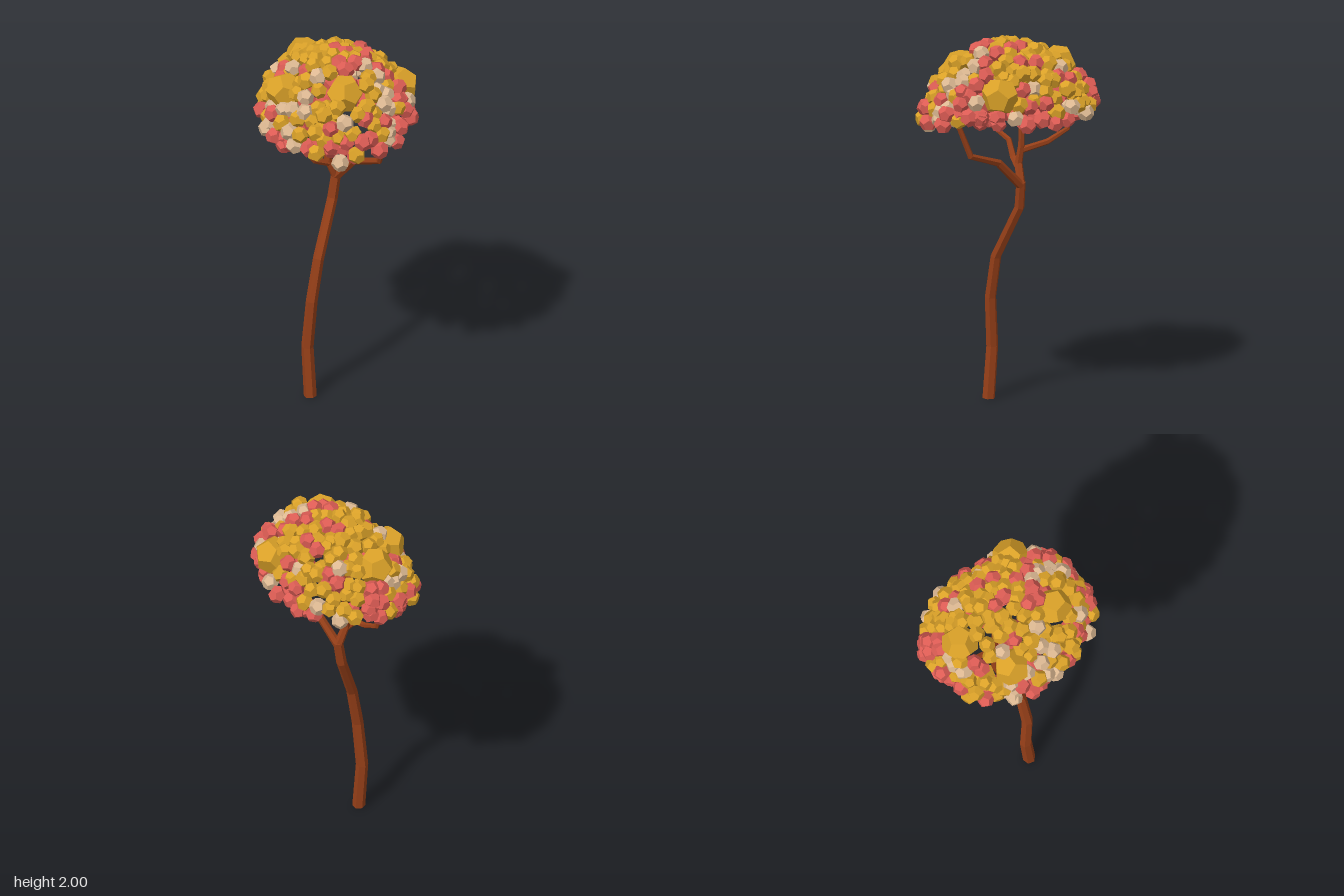
import * as THREE from 'three';
import { mergeGeometries } from 'three/addons/utils/BufferGeometryUtils.js';

const UP = new THREE.Vector3(0, 1, 0);

// Small seeded random generator
function seeded(seed) {
  return () => {
    seed = (seed + 0x6d2b79f5) | 0;
    let t = Math.imul(seed ^ (seed >>> 15), 1 | seed);
    t = (t + Math.imul(t ^ (t >>> 7), 61 | t)) ^ t;
    return ((t ^ (t >>> 14)) >>> 0) / 4294967296;
  };
}

// Tapered, kinked limb: a cylinder whose rings are moved onto the path points
function limb(name, points, r0, r1, material, sides = 6) {
  const path = points.map((p) => new THREE.Vector3(...p));
  const n = path.length - 1;
  const frames = path.map((p, i) => {
    const dir = path[Math.min(i + 1, n)].clone().sub(path[Math.max(i - 1, 0)]).normalize();
    return new THREE.Quaternion().setFromUnitVectors(UP, dir);
  });
  const geometry = new THREE.CylinderGeometry(1, 1, 1, sides, n);
  const pos = geometry.attributes.position;
  const v = new THREE.Vector3();
  for (let k = 0; k < pos.count; k++) {
    const i = Math.round((pos.getY(k) + 0.5) * n);
    const r = THREE.MathUtils.lerp(r0, r1, i / n);
    v.set(pos.getX(k) * r, 0, pos.getZ(k) * r).applyQuaternion(frames[i]).add(path[i]);
    pos.setXYZ(k, v.x, Math.max(0, v.y), v.z);
  }
  geometry.computeVertexNormals();
  const mesh = new THREE.Mesh(geometry, material);
  mesh.name = name;
  return mesh;
}

// Outline of the crown seen from above (a slightly skewed ellipse) and its rim height
const outline = (angle, s) => [
  0.45 * s * Math.cos(angle),
  s * (0.068 * Math.cos(angle) + 0.367 * Math.sin(angle)),
];
const rimHeight = (x, z) => 1.545 + 0.05 * x - 0.15 * z + 0.25 * x * x;

export function createModel() {
  const tree = new THREE.Group();
  tree.name = 'tree';
  const rand = seeded(5);
  const flat = (color) => new THREE.MeshStandardMaterial({ color, flatShading: true });
  const bark = flat(0x963f18);

  // Trunk
  tree.add(limb('trunk', [
    [-0.03, 0, 0.18], [-0.052, 0.28, 0.175], [-0.03, 0.55, 0.167], [-0.021, 0.78, 0.12],
    [-0.04, 1.07, -0.03], [-0.03, 1.21, -0.05],
  ], 0.034, 0.026, bark));

  // Branches
  const branches = new THREE.Group();
  branches.name = 'branches';
  branches.add(
    limb('leftBranch', [[-0.03, 1.19, -0.05], [0.11, 1.335, -0.02], [0.29, 1.4, 0.01], [0.35, 1.57, 0.04]], 0.024, 0.014, bark),
    limb('middleBranch', [[-0.03, 1.19, -0.05], [-0.055, 1.3, -0.01], [-0.06, 1.4, -0.025], [-0.06, 1.64, -0.03]], 0.025, 0.014, bark),
    limb('frontBranch', [[-0.05, 1.28, -0.01], [-0.09, 1.31, 0.06], [-0.12, 1.39, 0.12], [-0.12, 1.44, 0.23], [-0.13, 1.54, 0.27]], 0.019, 0.012, bark),
    limb('rightBranch', [[-0.057, 1.37, -0.02], [-0.2, 1.4, -0.08], [-0.3, 1.46, -0.13], [-0.33, 1.6, -0.14]], 0.018, 0.012, bark),
  );
  tree.add(branches);

  // Foliage: faceted balls collected by colour
  const clusters = { yellow: [], red: [], tan: [] };
  const addBall = (color, x, y, z, r) => {
    const ball = new THREE.DodecahedronGeometry(r);
    ball.rotateX(rand() * 6.28).rotateY(rand() * 6.28).rotateZ(rand() * 6.28);
    clusters[color].push(ball.translate(x, y, z));
  };

  // Large balls: four break through the top, the others fill the underside
  const large = [
    ['yellow', -0.27, 1.81, -0.09, 0.1], ['yellow', -0.19, 1.745, 0.19, 0.1],
    ['yellow', 0.185, 1.83, 0.17, 0.1], ['yellow', 0.28, 1.76, -0.19, 0.1],
    ['yellow', 0.065, 1.66, 0.145, 0.08], ['yellow', 0.12, 1.64, 0.26, 0.075],
    ['yellow', -0.29, 1.6, 0.07, 0.08], ['red', -0.07, 1.6, 0.24, 0.08],
    ['red', -0.245, 1.65, -0.115, 0.08], ['red', -0.02, 1.65, 0.035, 0.08],
    ['red', -0.04, 1.66, -0.14, 0.08], ['red', 0.13, 1.66, -0.12, 0.08],
    ['red', 0.24, 1.67, 0.03, 0.08], ['red', -0.13, 1.65, 0.11, 0.08],
  ];
  large.forEach((b) => addBall(...b));
  const swallowed = (x, y, z) => large.some((b) => Math.hypot(x - b[1], y - b[2], z - b[3]) < b[4] * 0.95);

  // Small balls over a dome whose rim dips toward the front
  const count = 195;
  for (let i = 0; i < count; i++) {
    const h = (i + 0.5) / count;
    const spread = Math.sqrt(1 - h ** 1.75) * (0.9 + 0.13 * rand());
    const [ox, z] = outline(i * 2.39996, Math.min(spread, 1));
    const x = ox + 0.05 * h;
    const rim = rimHeight(x, z);
    const y = rim + (1.945 - rim) * h + (rand() - 0.5) * 0.05;
    if (swallowed(x, y, z)) continue;
    const pick = rand();
    const yellowShare = h < 0.3 ? 0.3 : 0.62;
    const color = pick < 0.19 ? 'tan' : pick < 0.19 + yellowShare ? 'yellow' : 'red';
    addBall(color, x, y, z, 0.044 + 0.006 * rand());
  }

  // Red balls just inside the rim, seen from below
  for (let i = 0; i < 42; i++) {
    const [x, z] = outline(i * 2.39996, 0.7 + 0.27 * rand());
    addBall(i % 7 ? 'red' : 'tan', x, rimHeight(x, z) + 0.06 * rand(), z, 0.046);
  }

  const colors = { yellow: 0xdaa128, red: 0xdc5c54, tan: 0xdcb892 };
  const foliage = new THREE.Group();
  foliage.name = 'foliage';
  for (const key of Object.keys(clusters)) {
    const mesh = new THREE.Mesh(mergeGeometries(clusters[key]), flat(colors[key]));
    mesh.name = key + 'Foliage';
    foliage.add(mesh);
  }
  tree.add(foliage);
  return tree;
}
